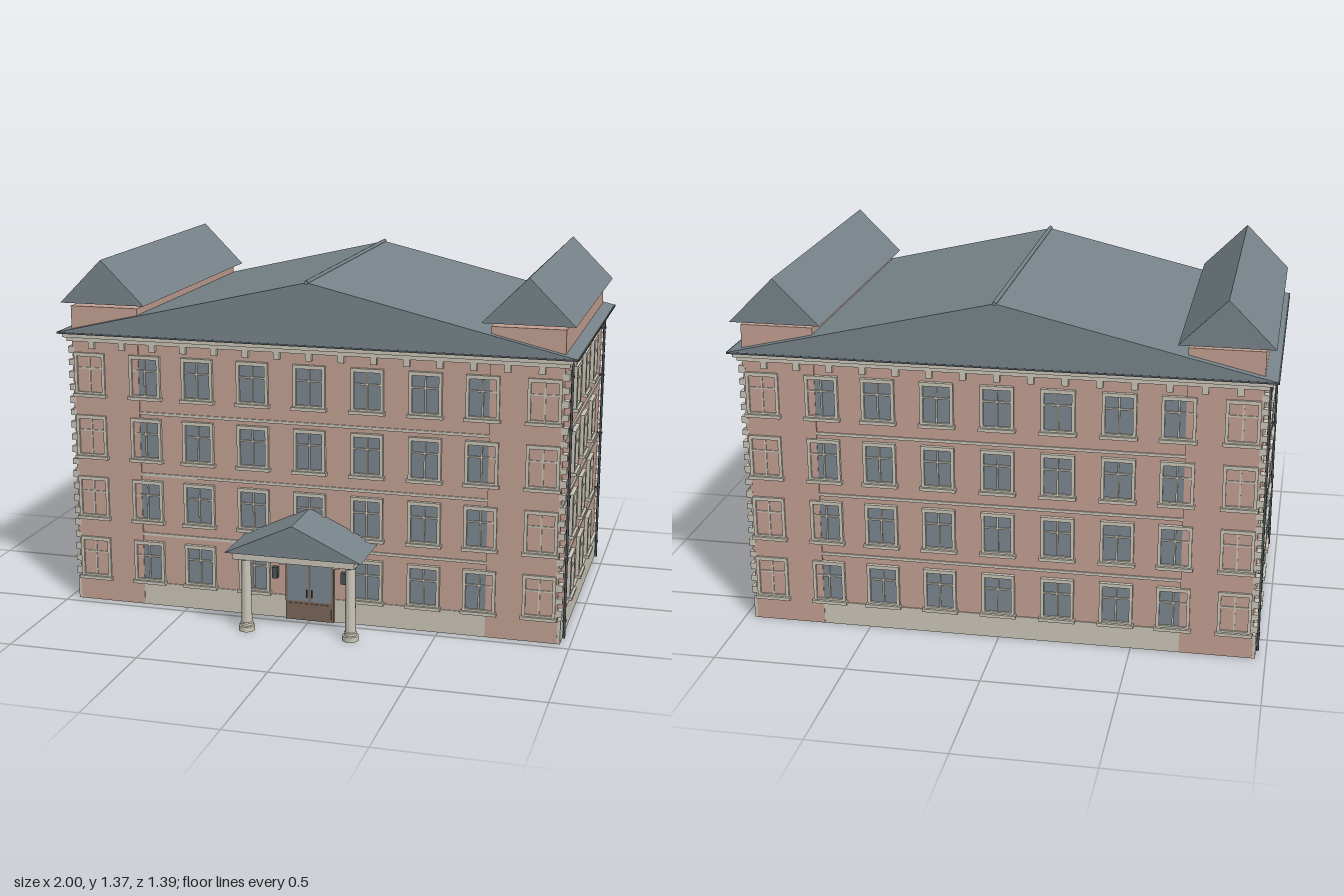
import * as THREE from 'three';

const mat = (name, color) => {
  const m = new THREE.MeshStandardMaterial({ color });
  m.name = name;
  return m;
};
const brick = mat('pink plaster', 0xc4a193);
const stone = mat('cream stone', 0xcbc6b8);
const slate = mat('slate roof', 0x78848a);
const glass = mat('window glass', 0x7b878f);
const iron = mat('dark iron', 0x4a5257);
const wood = mat('brown wood', 0x7c6658);

const ZC = -0.096; // middle of the building's depth

function add(parent, name, geometry, material, x = 0, y = 0, z = 0) {
  const mesh = new THREE.Mesh(geometry, material);
  mesh.name = name;
  mesh.position.set(x, y, z);
  parent.add(mesh);
  return mesh;
}

// Box given by its limits on each axis
function block(parent, name, material, [x0, x1], [y0, y1], [z0, z1]) {
  return add(parent, name, new THREE.BoxGeometry(x1 - x0, y1 - y0, z1 - z0), material,
    (x0 + x1) / 2, (y0 + y1) / 2, (z0 + z1) / 2);
}

// Solid gable roof with its ridge along z
function gable(parent, name, cx, half, y0, y1, z0, z1) {
  const s = new THREE.Shape([
    new THREE.Vector2(-half, y0), new THREE.Vector2(half, y0), new THREE.Vector2(0, y1)]);
  const g = new THREE.ExtrudeGeometry(s, { depth: z1 - z0, bevelEnabled: false });
  return add(parent, name, g, slate, cx, 0, z0);
}

// Window facing +z, with its origin on the wall at the bottom of the frame
function makeWindow() {
  const w = new THREE.Group();
  block(w, 'windowPane', glass, [-0.052, 0.052], [0.006, 0.15], [-0.004, 0.003]);
  for (const s of [-1, 1]) {
    add(w, 'windowJamb', new THREE.BoxGeometry(0.012, 0.161, 0.015), stone, s * 0.056, 0.0805, 0.0055);
  }
  block(w, 'windowHead', stone, [-0.062, 0.062], [0.147, 0.161], [-0.002, 0.014]);
  block(w, 'windowFoot', stone, [-0.052, 0.052], [0, 0.007], [-0.002, 0.012]);
  block(w, 'windowSill', stone, [-0.068, 0.068], [-0.012, 0], [-0.002, 0.022]);
  block(w, 'windowMullion', stone, [-0.003, 0.003], [0.006, 0.148], [0, 0.009]);
  block(w, 'windowTransom', stone, [-0.051, 0.051], [0.098, 0.104], [0, 0.009]);
  return w;
}

export function createModel() {
  const model = new THREE.Group();
  model.name = 'townBuilding';

  // Walls, plinth and end wings
  block(model, 'mainWalls', brick, [-0.949, 0.949], [0.002, 1.078], [-0.651, 0.459]);
  block(model, 'plinth', stone, [-0.962, 0.962], [0, 0.092], [-0.655, 0.463]);
  for (const s of [-1, 1]) {
    const wing = block(model, 'endWing', brick, [-0.135, 0.135], [0.001, 1.182], [-0.657, 0.465]);
    wing.position.x = s * 0.815;
    gable(model, 'wingRoof', s * 0.815, 0.17, 1.195, 1.365, -0.677, 0.481);
  }

  // Belt courses
  for (const y of [0.29, 0.532, 0.775]) {
    block(model, 'beltCourse', stone, [-0.957, 0.957], [y - 0.005, y + 0.006], [-0.656, 0.464]);
  }

  // Cornice and its brackets
  block(model, 'corniceLower', stone, [-0.968, 0.968], [1.046, 1.062], [-0.669, 0.477]);
  block(model, 'corniceUpper', stone, [-0.98, 0.98], [1.062, 1.078], [-0.68, 0.488]);
  const bracket = new THREE.BoxGeometry(0.024, 0.028, 0.024);
  for (let i = -7; i <= 7; i++) {
    add(model, 'corniceBracket', bracket, stone, i * 0.124, 1.033, 0.464);
    add(model, 'corniceBracket', bracket, stone, i * 0.124, 1.033, -0.656);
  }
  for (const s of [-1, 1]) for (let i = -5; i <= 5; i++) {
    add(model, 'corniceBracket', bracket, stone, s * 0.955, 1.033, ZC + i * 0.092);
  }

  // Main roof with eaves and ridge cap
  block(model, 'eaves', iron, [-1, 1], [1.076, 1.083], [-0.689, 0.495]);
  gable(model, 'mainRoof', 0, 0.998, 1.082, 1.315, -0.688, 0.494);
  const ridge = add(model, 'ridgeCap', new THREE.CylinderGeometry(0.008, 0.008, 1.194, 8), slate, 0, 1.316, -0.097);
  ridge.rotation.x = Math.PI / 2;

  // Windows on all four sides
  const proto = makeWindow();
  const place = (x, y, z, turn) => {
    const w = proto.clone();
    w.name = 'window';
    w.position.set(x, y, z);
    w.rotation.y = turn;
    model.add(w);
  };
  for (let floor = 0; floor < 4; floor++) {
    const y = 0.101 + floor * 0.2467;
    for (const x of [-0.88, -0.655, -0.443, -0.223, 0, 0.223, 0.443, 0.655, 0.88]) {
      if (floor > 0 || x !== 0) place(x, y, 0.46, 0);
      place(x, y, -0.652, Math.PI);
    }
    for (const z of [0.165, -0.097, -0.354]) {
      place(0.951, y, z, Math.PI / 2);
      place(-0.951, y, z, -Math.PI / 2);
    }
  }

  // Corner quoins, long and short in turn
  for (let i = 0; i < 19; i++) {
    const len = i % 2 ? 0.022 : 0.036;
    const g = new THREE.BoxGeometry(0.026, i % 2 ? 0.022 : 0.026, len);
    for (const sx of [-1, 1]) for (const sz of [-1, 1]) {
      add(model, 'quoin', g, stone, sx * 0.954, 0.118 + i * 0.0496, ZC + sz * (0.562 - len / 2));
    }
  }

  // Downpipes with wall clips
  for (const sx of [-1, 1]) for (const z of [0.397, -0.592]) {
    add(model, 'downpipe', new THREE.CylinderGeometry(0.005, 0.005, 1.05, 8), iron, sx * 0.968, 0.526, z);
    for (const y of [0.07, 0.31, 0.55, 0.8, 1.0]) {
      add(model, 'pipeClip', new THREE.BoxGeometry(0.022, 0.007, 0.015), iron, sx * 0.964, y, z);
    }
  }

  // Entrance doors
  block(model, 'doorFrame', wood, [-0.096, 0.096], [0, 0.228], [0.455, 0.472]);
  for (const s of [-1, 1]) {
    add(model, 'doorGlass', new THREE.BoxGeometry(0.084, 0.146, 0.006), glass, s * 0.046, 0.15, 0.472);
    add(model, 'doorPanel', new THREE.BoxGeometry(0.08, 0.058, 0.006), wood, s * 0.046, 0.039, 0.472);
    add(model, 'doorHandle', new THREE.BoxGeometry(0.004, 0.03, 0.008), iron, s * 0.01, 0.11, 0.478);
    add(model, 'wallLamp', new THREE.BoxGeometry(0.022, 0.044, 0.022), iron, s * 0.137, 0.184, 0.471);
    add(model, 'archFoot', new THREE.BoxGeometry(0.028, 0.014, 0.028), stone, s * 0.104, 0.228, 0.47);
  }

  // Arch over the doors
  const arch = new THREE.Shape();
  arch.absellipse(0, 0, 0.114, 0.08, 0, Math.PI, false);
  arch.absellipse(0, 0, 0.092, 0.06, Math.PI, 0, true);
  add(model, 'doorArch', new THREE.ExtrudeGeometry(arch, { depth: 0.024, bevelEnabled: false, curveSegments: 16 }),
    stone, 0, 0.23, 0.457);

  // Porch
  gable(model, 'porchRoof', 0, 0.262, 0.325, 0.448, 0.46, 0.7);
  block(model, 'porchBeam', stone, [-0.235, 0.235], [0.3, 0.326], [0.46, 0.692]);
  const profile = [[0, 0], [0.031, 0], [0.031, 0.02], [0.025, 0.022], [0.025, 0.032], [0.021, 0.035],
    [0.018, 0.28], [0.025, 0.286], [0.025, 0.301], [0, 0.301]].map(p => new THREE.Vector2(...p));
  const column = new THREE.LatheGeometry(profile, 16).toNonIndexed();
  column.computeVertexNormals();
  for (const s of [-1, 1]) add(model, 'porchColumn', column, stone, s * 0.203, 0, 0.624);

  return model;
}
